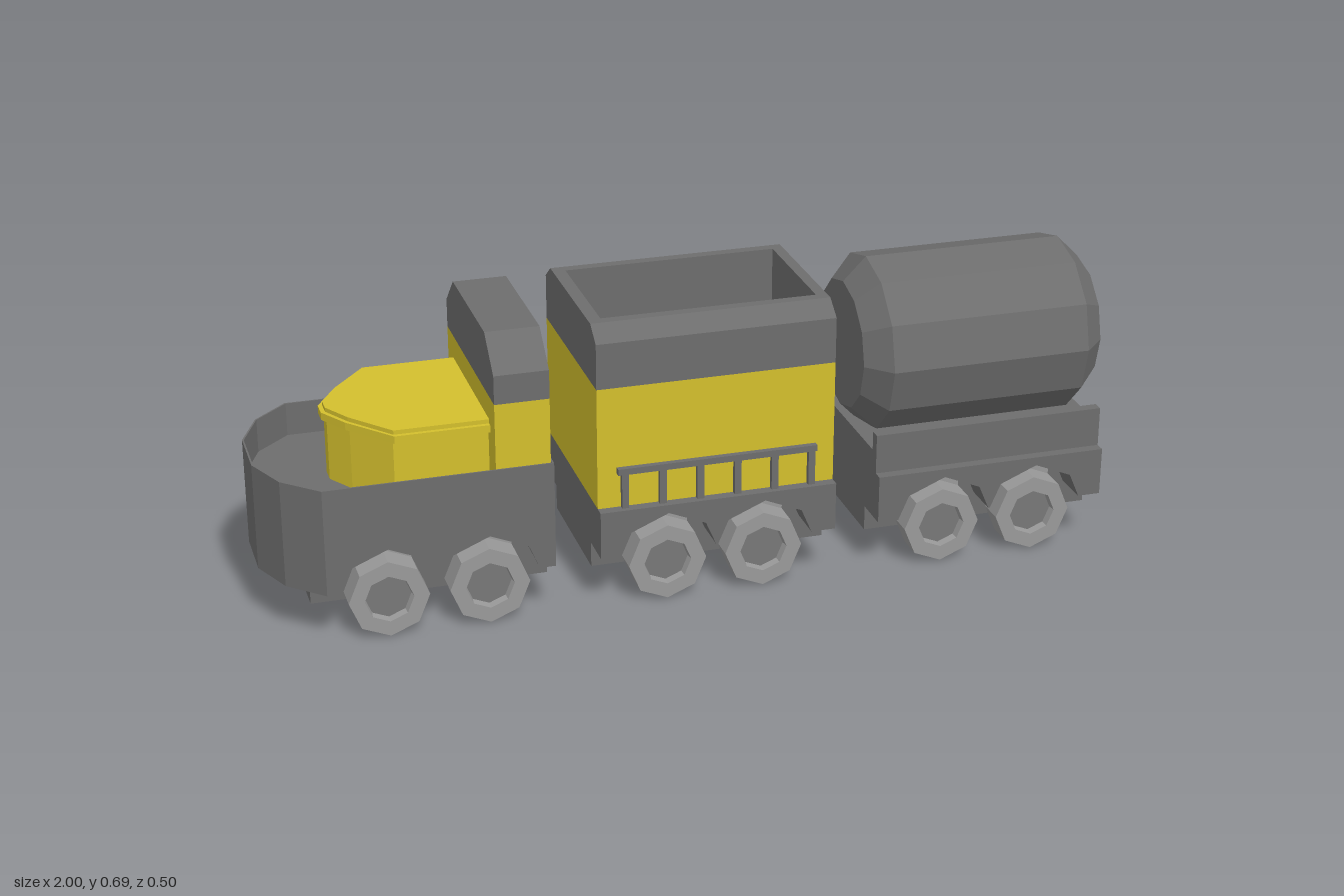
import * as THREE from 'three';

const paint = (color) => new THREE.MeshStandardMaterial({ color, flatShading: true });
const dark = paint(0x6d6d6d);
const yellow = paint(0xd3bf2d);
const steel = paint(0x999999);
const hubGrey = paint(0x777777);

function add(parent, name, geometry, material = dark) {
  const mesh = new THREE.Mesh(geometry, material);
  mesh.name = name;
  parent.add(mesh);
  return mesh;
}

// Box given by its limits
function box(x0, x1, y0, y1, z0, z1) {
  return new THREE.BoxGeometry(x1 - x0, y1 - y0, z1 - z0)
    .translate((x0 + x1) / 2, (y0 + y1) / 2, (z0 + z1) / 2);
}

const points = (pts) => pts.map(([x, y]) => new THREE.Vector2(x, y));
const shapeOf = (pts) => new THREE.Shape(points(pts));
const rect = (x0, x1, w) => [[x0, -w], [x1, -w], [x1, w], [x0, w]];
const extrude = (shape, depth) => new THREE.ExtrudeGeometry(shape, { depth, bevelEnabled: false });

// Plan outline (x, z) raised from y0 to y1, with an optional hole
function plan(pts, y0, y1, hole) {
  const shape = shapeOf(pts);
  if (hole) shape.holes.push(shapeOf(hole));
  return extrude(shape, y1 - y0).rotateX(-Math.PI / 2).translate(0, y0, 0);
}

// Cross-section (z, y) drawn out from x0 to x1
function section(pts, x0, x1) {
  const flipped = pts.map(([z, y]) => [-z, y]);
  return extrude(shapeOf(flipped), x1 - x0).rotateY(Math.PI / 2).translate(x0, 0, 0);
}

// Half outline completed by mirroring it across the centre line
const mirrorPlan = (pts) => [...pts, ...pts.map(([x, z]) => [x, -z]).reverse()];
const mirrorSection = (pts) => [...pts, ...pts.map(([z, y]) => [-z, y]).reverse()];

// Eight-sided wheel with a recessed hub, facing +z
function makeWheel() {
  const wheel = new THREE.Group();
  wheel.name = 'wheel';
  const rim = points([[0, 0], [0.092, 0], [0.092, 0.065], [0.056, 0.065], [0.053, 0.045]]);
  const hub = points([[0.054, 0.046], [0, 0.046]]);
  add(wheel, 'wheelRim', new THREE.LatheGeometry(rim, 8).rotateX(Math.PI / 2), steel);
  add(wheel, 'wheelHub', new THREE.LatheGeometry(hub, 8).rotateX(Math.PI / 2), hubGrey);
  return wheel;
}

// Running gear shared by all cars: core, arched skirts and four wheels
function addChassis(car, x0, x1, lowX0, top, wheels) {
  add(car, 'chassisCore', box(x0, x1, 0.12, top, -0.16, 0.16));
  add(car, 'underframe', box(lowX0, x1, 0.065, 0.125, -0.16, 0.16));
  const outline = [[x0, top], [x0, 0.125]];
  for (const c of wheels) {
    outline.push([c - 0.113, 0.125], [c - 0.088, 0.183], [c, 0.22], [c + 0.088, 0.183], [c + 0.113, 0.125]);
  }
  outline.push([x1, 0.125], [x1, top]);
  for (const side of [1, -1]) {
    add(car, 'wheelArchSkirt', extrude(shapeOf(outline), 0.09)).position.z = side > 0 ? 0.16 : -0.25;
    for (const c of wheels) {
      const wheel = makeWheel();
      wheel.position.set(c, 0.092, side * 0.175);
      if (side < 0) wheel.rotation.y = Math.PI;
      car.add(wheel);
      const mount = new THREE.BoxGeometry(0.13, 0.125, 0.02);
      add(car, 'wheelMount', mount, steel).position.set(c, 0.1245, side * 0.166);
    }
  }
}

function engine() {
  const car = new THREE.Group();
  car.name = 'engine';
  addChassis(car, -0.875, -0.355, -0.9, 0.23, [-0.735, -0.505]);

  // Hull with a faceted nose and a raised thin rim
  const nose = [[-0.875, 0.25], [-0.955, 0.175], [-1, 0.07]];
  const hull = mirrorPlan([[-0.355, 0.25], ...nose]);
  const inner = mirrorPlan([[-0.359, 0.246], [-0.873, 0.246], [-0.952, 0.173], [-0.996, 0.069]]);
  add(car, 'nose', plan(mirrorPlan(nose), 0.125, 0.23));
  add(car, 'deck', plan(hull, 0.23, 0.3));
  add(car, 'hullRim', plan(hull, 0.3, 0.38, inner));

  // Hood with an overhanging chamfered lid
  const hood = [[-0.485, 0.175], [-0.7, 0.175], [-0.78, 0.085], [-0.82, 0.02]];
  const lid = [[-0.485, 0.195], [-0.7, 0.195], [-0.79, 0.09], [-0.832, 0.02]];
  const lidTop = [[-0.485, 0.185], [-0.7, 0.185], [-0.783, 0.085], [-0.822, 0.018]];
  add(car, 'hood', plan(mirrorPlan(hood), 0.3, 0.45), yellow);
  add(car, 'hoodLid', plan(mirrorPlan(lid), 0.447, 0.465), yellow);
  add(car, 'hoodLidTop', plan(mirrorPlan(lidTop), 0.465, 0.475), yellow);

  // Cab
  add(car, 'cab', box(-0.485, -0.36, 0.3, 0.532, -0.24, 0.24), yellow);
  add(car, 'cabRoof', section(mirrorSection([[0.24, 0.532], [0.24, 0.6], [0.16, 0.673]]), -0.485, -0.36));
  return car;
}

function hopperCar() {
  const car = new THREE.Group();
  car.name = 'hopperCar';
  const x0 = -0.25, x1 = 0.311;
  addChassis(car, x0, x1, x0, 0.24, [-0.09, 0.14]);

  // Open box with a dark lining
  add(car, 'boxWalls', plan(rect(x0, x1, 0.225), 0.24, 0.532, rect(-0.225, 0.29, 0.16)), yellow);
  add(car, 'boxLining', plan(rect(-0.225, 0.29, 0.16), 0.24, 0.532, rect(-0.22, 0.285, 0.155)));
  add(car, 'boxFloor', box(-0.22, 0.285, 0.24, 0.3, -0.155, 0.155));

  // Upper rim with sloping shoulders
  const half = [[0.225, 0.532], [0.225, 0.64], [0.18, 0.673]];
  for (const s of [1, -1]) {
    const wall = [[0.155, 0.532], ...half, [0.155, 0.673]].map(([z, y]) => [s * z, y]);
    add(car, 'rimSide', section(wall, -0.22, 0.285));
  }
  add(car, 'rimEnd', section(mirrorSection(half), x0, -0.22));
  add(car, 'rimEnd', section(mirrorSection(half), 0.285, x1));

  // Handrails
  for (const s of [1, -1]) {
    const rails = new THREE.Group();
    rails.name = 'handrail';
    add(rails, 'rail', box(-0.205, 0.267, 0.323, 0.338, -0.007, 0.008));
    for (let i = 0; i < 6; i++) {
      const x = -0.188 + i * 0.0886;
      add(rails, 'post', box(x - 0.008, x + 0.008, 0.24, 0.325, -0.007, 0.007));
    }
    rails.position.z = s * 0.231;
    car.add(rails);
  }
  return car;
}

function tankCar() {
  const car = new THREE.Group();
  car.name = 'tankCar';
  const x0 = 0.417, x1 = 0.977;
  addChassis(car, x0, x1, x0, 0.24, [0.58, 0.81]);
  add(car, 'deck', box(x0, x1, 0.235, 0.29, -0.2, 0.2));
  for (const s of [1, -1]) {
    add(car, 'sideRail', box(x0, x1, 0.24, 0.335, s > 0 ? 0.2 : -0.225, s > 0 ? 0.225 : -0.2));
  }

  // End lip whose underside slopes back and tapers
  const lip = extrude(shapeOf([[x1 - 0.01, 0.215], [x1, 0.215], [x1 + 0.006, 0.237], [x1 + 0.006, 0.29], [x1 - 0.01, 0.29]]), 0.4)
    .translate(0, 0, -0.2);
  const pos = lip.attributes.position;
  for (let i = 0; i < pos.count; i++) if (pos.getY(i) < 0.22) pos.setZ(i, pos.getZ(i) * 0.775);
  add(car, 'endLip', lip);

  // Twelve-sided tank with chamfered ends
  const profile = points([[0, 0], [0.155, 0], [0.211, 0.055], [0.211, 0.538], [0.155, 0.593], [0, 0.593]]);
  const tank = new THREE.LatheGeometry(profile, 12).rotateZ(-Math.PI / 2);
  add(car, 'tank', tank).position.set(0.407, 0.48, 0);
  return car;
}

export function createModel() {
  const model = new THREE.Group();
  model.name = 'train';
  model.add(engine(), hopperCar(), tankCar());
  return model;
}
